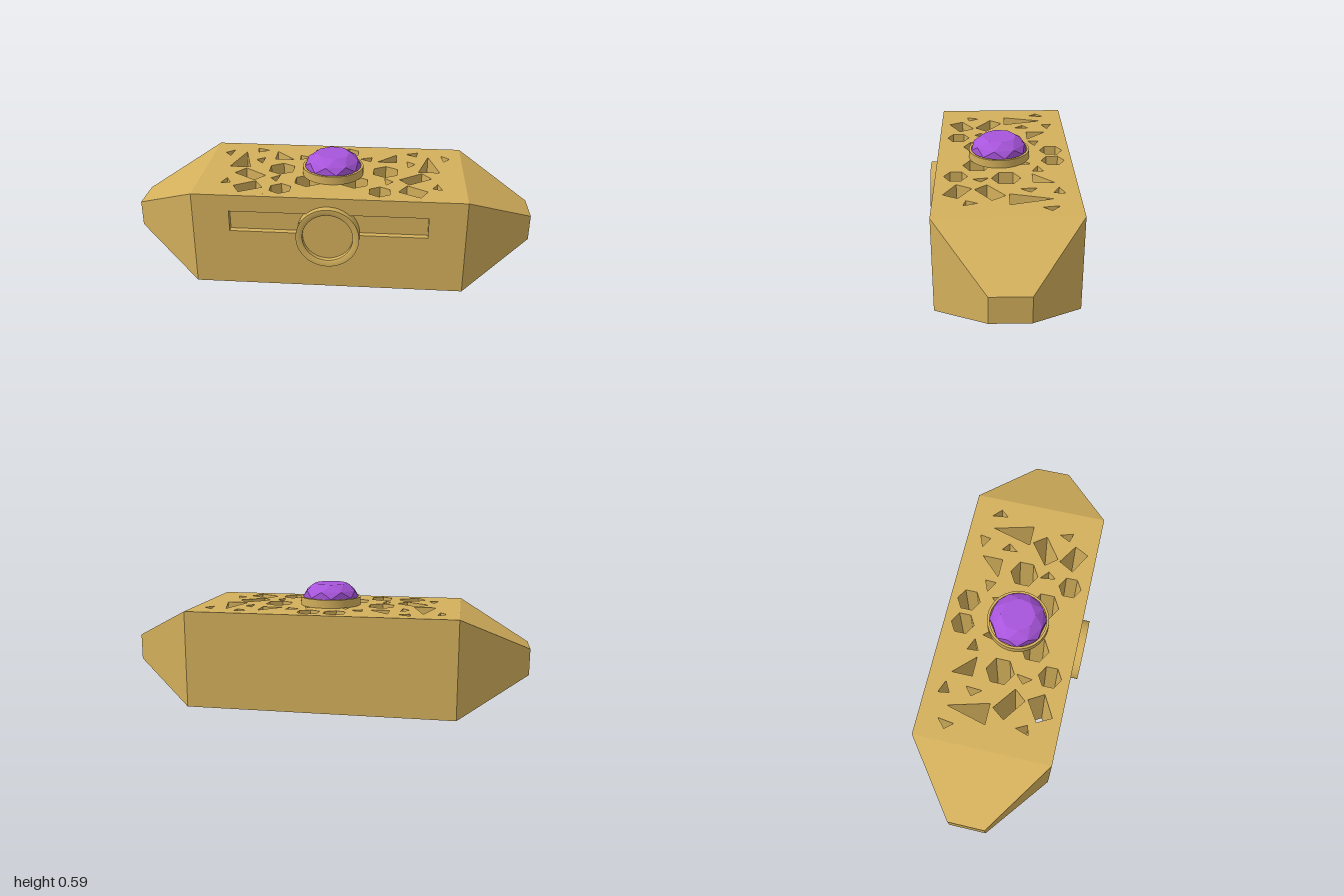
import * as THREE from 'three';
import { toCreasedNormals } from 'three/addons/utils/BufferGeometryUtils.js';
import { ConvexGeometry } from 'three/addons/geometries/ConvexGeometry.js';

const HALF = 0.66, HEIGHT = 0.48, BACK = -0.355, FRONT = 0.32, SLOT_DEPTH = 0.03;

// Pierced pattern, +x half only, as x, z; mirrored to the other half
const HEXES = [[0.064, -0.26, 0.058], [0.266, -0.02, 0.07], [0.242, 0.222, 0.057], [0.117, 0.12, 0.07]];
const CUTS = [
  [[0.22, -0.147], [0.32, -0.147], [0.32, -0.25]],
  [[0.487, -0.23], [0.433, -0.03], [0.54, -0.03]],
  [[0.37, -0.265], [0.433, -0.29], [0.425, -0.235]],
  [[0.556, -0.255], [0.6, -0.215], [0.567, -0.175]],
  [[0.417, -0.13], [0.375, -0.163], [0.38, -0.083]],
  [[0.19, -0.205], [0.13, -0.18], [0.187, -0.15]],
  [[0.102, -0.148], [0.114, -0.095], [0.06, -0.1]],
  [[0.45, -0.013], [0.337, 0.072], [0.385, 0.13], [0.497, 0.05]],
  [[0.375, 0.142], [0.332, 0.216], [0.438, 0.275], [0.475, 0.205]],
  [[0.545, 0.18], [0.524, 0.115], [0.497, 0.168]],
  [[0.305, 0.1], [0.262, 0.062], [0.273, 0.14]],
];

function rectangle(x0, y0, x1, y1) {
  return [[x0, y0], [x1, y0], [x1, y1], [x0, y1]].map(([x, y]) => new THREE.Vector2(x, y));
}

function hexagon([x, z, r]) {
  return Array.from({ length: 6 }, (_, i) => {
    const a = Math.PI / 6 + i * Math.PI / 3;
    return [x + r * Math.cos(a), z + r * Math.sin(a)];
  });
}

function turned(profile) {
  const points = profile.map(([r, y]) => new THREE.Vector2(r, y));
  return toCreasedNormals(new THREE.LatheGeometry(points, 48), 0.6);
}

export function createModel() {
  const model = new THREE.Group();
  const gold = new THREE.MeshStandardMaterial({ color: 0xd4b05c });
  gold.name = 'gold';
  const purple = new THREE.MeshStandardMaterial({ color: 0xa855dc });
  purple.name = 'purple';

  function add(name, geometry, material = gold) {
    const mesh = new THREE.Mesh(geometry, material);
    mesh.name = name;
    model.add(mesh);
    return mesh;
  }

  // Main block, pierced from top to bottom
  const plan = new THREE.Shape(rectangle(-HALF, SLOT_DEPTH - FRONT, HALF, -BACK));
  for (const cut of [...HEXES.map(hexagon), ...CUTS]) {
    for (const side of [1, -1]) {
      plan.holes.push(new THREE.Path(cut.map(([x, z]) => new THREE.Vector2(side * x, -z))));
    }
  }
  const block = new THREE.ExtrudeGeometry(plan, { depth: HEIGHT, bevelEnabled: false });
  add('piercedBody', block.rotateX(-Math.PI / 2));

  // Front panel with the long slot
  const panel = new THREE.Shape(rectangle(-HALF, 0, HALF, HEIGHT));
  panel.holes.push(new THREE.Path(rectangle(-0.48, 0.29, 0.48, 0.395)));
  add('frontPanel', new THREE.ExtrudeGeometry(panel, { depth: SLOT_DEPTH, bevelEnabled: false }))
    .position.z = FRONT - SLOT_DEPTH;

  // Tapered ends: the outer face of each box shrinks
  for (const side of [1, -1]) {
    const end = new THREE.BoxGeometry(1 - HALF, HEIGHT, FRONT - BACK);
    const p = end.attributes.position;
    for (let i = 0; i < p.count; i++) {
      if (p.getX(i) * side > 0) {
        p.setY(i, p.getY(i) * 0.27);
        p.setZ(i, p.getZ(i) * 0.27);
      }
    }
    end.computeVertexNormals();
    add(side > 0 ? 'leftEnd' : 'rightEnd', end)
      .position.set(side * (1 + HALF) / 2, HEIGHT / 2, (FRONT + BACK) / 2);
  }

  // Round dish on the front
  const dish = add('frontDish', turned([
    [0.153, -0.03], [0.153, 0.035], [0.13, 0.035], [0.122, 0.03], [0.122, 0.005], [0, 0.005],
  ]));
  dish.rotation.x = Math.PI / 2;
  dish.position.set(0, 0.284, FRONT);

  // Socket on top
  add('gemSocket', turned([
    [0, -0.001], [0.153, -0.001], [0.153, 0.041], [0.141, 0.041], [0.141, 0.01], [0, 0.01],
  ])).position.set(0, HEIGHT, 0.008);

  // Faceted gem: girdle, staggered middle ring and flat table
  const corners = [];
  for (const [r, y, turn] of [[0.14, 0.495, 0], [0.142, 0.522, 0], [0.13, 0.555, 0.5], [0.085, 0.588, 0]]) {
    for (let i = 0; i < 8; i++) {
      const a = 0.6 + (i + turn) * Math.PI / 4;
      corners.push(new THREE.Vector3(r * Math.cos(a), y, 0.008 + r * Math.sin(a)));
    }
  }
  add('gem', new ConvexGeometry(corners), purple);

  return model;
}
